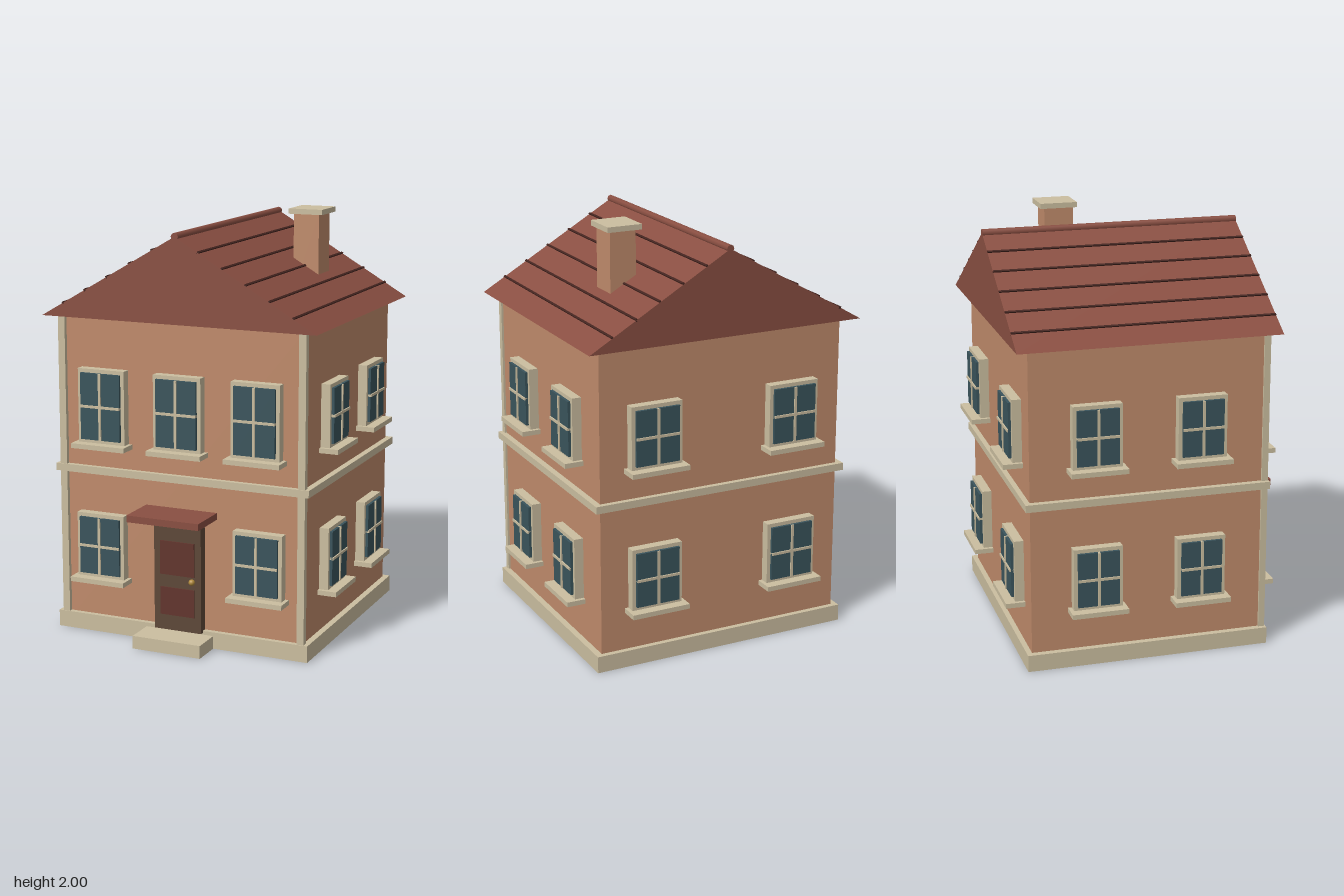
import * as THREE from 'three';

const mat = (color) => new THREE.MeshStandardMaterial({ color });
const M = {
  wall: mat(0xc08b6b), trim: mat(0xcbbea0), roof: mat(0x8a4f42), groove: mat(0x43241f),
  glass: mat(0x3a545c), door: mat(0x5e4838), panel: mat(0x62352d), brass: mat(0xb08a3c),
};

// Box given by its min and max on each axis
function box(parent, name, material, [x0, x1], [y0, y1], [z0, z1]) {
  const mesh = new THREE.Mesh(new THREE.BoxGeometry(x1 - x0, y1 - y0, z1 - z0), material);
  mesh.position.set((x0 + x1) / 2, (y0 + y1) / 2, (z0 + z1) / 2);
  mesh.name = name;
  parent.add(mesh);
  return mesh;
}

// Window standing on y = 0 of its group, with the wall at z = 0 and facing +z
function makeWindow(w, h) {
  const g = new THREE.Group();
  g.name = 'window';
  const b = 0.018, e = w / 2, m = 0.006;
  box(g, 'windowFrame', M.trim, [-e, e], [0, h], [-0.01, 0.045]);
  box(g, 'windowGlass', M.glass, [b - e, e - b], [b, h - b], [0.03, 0.058]);
  box(g, 'verticalBar', M.trim, [-m, m], [b, h - b], [0.04, 0.064]);
  box(g, 'horizontalBar', M.trim, [b - e, e - b], [h / 2 - m, h / 2 + m], [0.04, 0.064]);
  box(g, 'windowSill', M.trim, [-e - 0.018, e + 0.018], [-0.022, 0.001], [-0.01, 0.092]);
  return g;
}

export function createModel() {
  const house = new THREE.Group();
  house.name = 'house';

  // Walls, plinth, floor band and front corner strips
  box(house, 'walls', M.wall, [-0.615, 0.615], [0.02, 1.54], [-0.615, 0.5]);
  box(house, 'plinth', M.trim, [-0.645, 0.645], [0, 0.08], [-0.64, 0.525]);
  box(house, 'floorBand', M.trim, [-0.645, 0.645], [0.78, 0.815], [-0.64, 0.525]);
  for (const s of [-1, 1]) {
    const xs = [0.59 * s, 0.625 * s].sort((a, b) => a - b);
    box(house, 'cornerStrip', M.trim, xs, [0.08, 1.53], [0.49, 0.52]);
  }

  // Gable roof
  const half = 0.687, eave = 1.53, rise = 0.4, back = -0.678, front = 0.558;
  const gable = new THREE.Shape();
  gable.moveTo(-half, 0).lineTo(half, 0).lineTo(0, rise).closePath();
  const roof = new THREE.Mesh(
    new THREE.ExtrudeGeometry(gable, { depth: front - back, bevelEnabled: false }), M.roof);
  roof.position.set(0, eave, back);
  roof.name = 'roof';
  house.add(roof);

  // Dark course lines along both slopes
  for (const s of [-1, 1]) {
    for (let i = 1; i <= 5; i++) {
      const x = 0.115 * i;
      const strip = box(house, 'roofCourse', M.groove, [-0.005, 0.005], [-0.006, 0.006], [back, front]);
      strip.position.x = s * x;
      strip.position.y = eave + rise * (1 - x / half);
      strip.rotation.z = -s * Math.atan2(rise, half);
    }
  }
  const ridge = new THREE.Mesh(new THREE.CylinderGeometry(0.018, 0.018, front - back, 8), M.roof);
  ridge.rotation.x = Math.PI / 2;
  ridge.position.set(0, eave + rise, (front + back) / 2);
  ridge.name = 'ridge';
  house.add(ridge);

  // Chimney
  box(house, 'chimney', M.wall, [0.285, 0.413], [1.6, 1.976], [-0.312, -0.17]);
  box(house, 'chimneyCap', M.trim, [0.264, 0.434], [1.975, 2], [-0.335, -0.155]);

  // Windows: offset along the wall, base height, width, height, per wall
  const place = (x, y, z, turn, w, h) => {
    const win = makeWindow(w, h);
    win.position.set(x, y, z);
    win.rotation.y = turn;
    house.add(win);
  };
  for (const x of [-0.39, 0, 0.39]) place(x, 0.936, 0.5, 0, 0.24, 0.354);
  for (const x of [-0.403, 0.403]) place(x, 0.28, 0.5, 0, 0.244, 0.312);
  for (const y of [0.284, 0.964]) {
    for (const s of [-1, 1]) {
      for (const z of [0.187, -0.308]) place(s * 0.615, y, z, s * Math.PI / 2, 0.232, 0.298);
      place(s * 0.352, y, -0.615, Math.PI, 0.252, 0.298);
    }
  }

  // Front door with two panels and a knob
  const door = new THREE.Group();
  door.name = 'frontDoor';
  house.add(door);
  box(door, 'doorLeaf', M.door, [-0.12, 0.12], [0.07, 0.58], [0.49, 0.545]);
  box(door, 'lowerPanel', M.panel, [-0.087, 0.087], [0.145, 0.28], [0.53, 0.551]);
  box(door, 'upperPanel', M.panel, [-0.087, 0.087], [0.342, 0.505], [0.53, 0.551]);
  const knob = new THREE.Mesh(new THREE.SphereGeometry(0.015, 16, 12), M.brass);
  knob.position.set(0.08, 0.322, 0.56);
  knob.name = 'doorKnob';
  door.add(knob);

  // Canopy and step
  box(house, 'doorCanopy', M.roof, [-0.182, 0.182], [0.622, 0.654], [0.49, 0.706]);
  box(house, 'doorStep', M.trim, [-0.173, 0.173], [0, 0.062], [0.5, 0.675]);

  return house;
}
